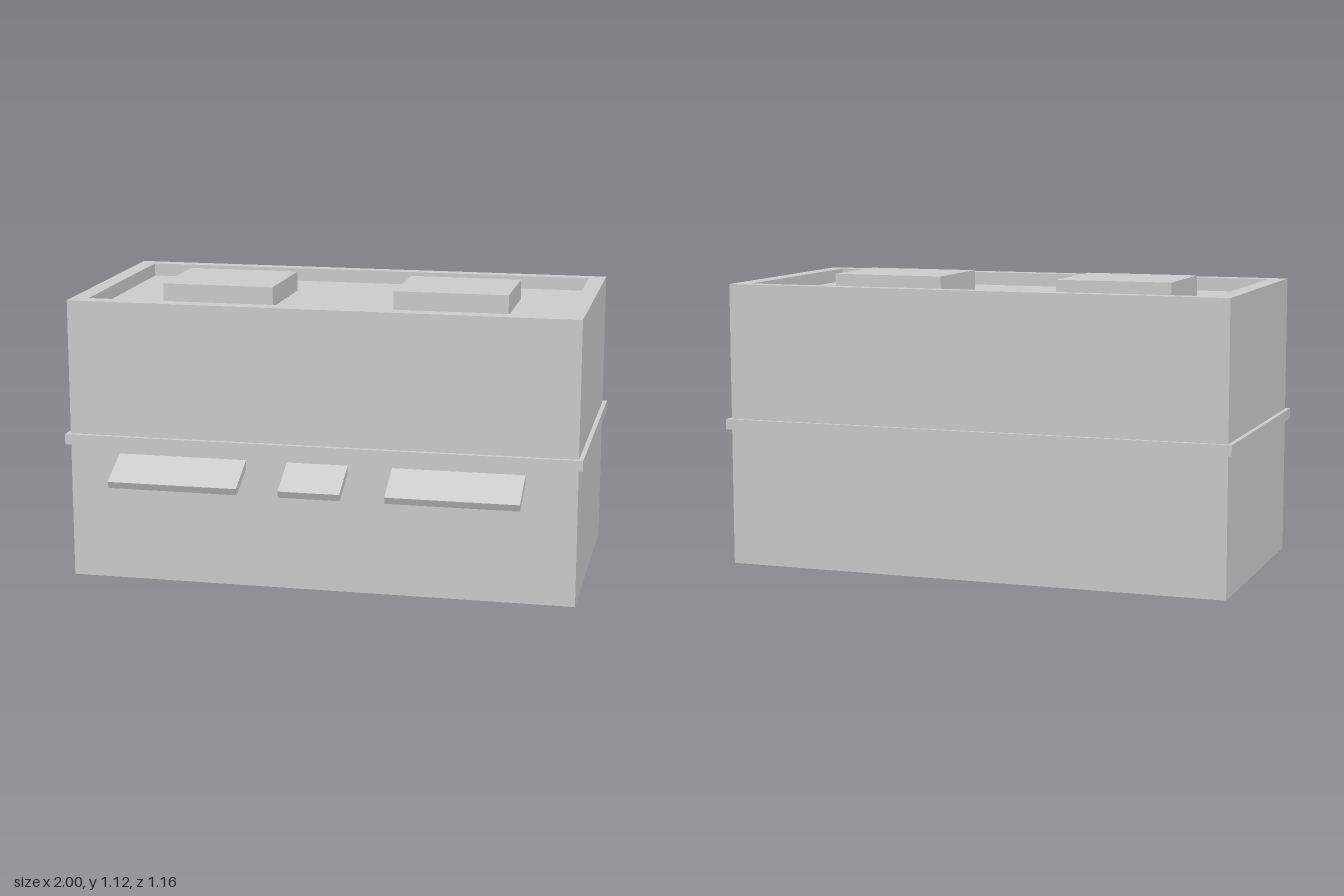
import * as THREE from 'three';

const material = new THREE.MeshStandardMaterial({ color: 0xcccccc, flatShading: true });

function addMesh(parent, name, geometry) {
  const mesh = new THREE.Mesh(geometry, material);
  mesh.name = name;
  parent.add(mesh);
  return mesh;
}

// Closed solid lofted through rectangles [halfWidth, zBack, zFront, y]
function rectLoft(loops) {
  const rings = loops.map(([w, zb, zf, y]) => [[-w, y, zf], [w, y, zf], [w, y, zb], [-w, y, zb]]);
  const positions = [];
  const quad = (a, b, c, d) => positions.push(...a, ...b, ...c, ...a, ...c, ...d);
  for (let r = 0; r < rings.length - 1; r++) {
    for (let i = 0; i < 4; i++) {
      const j = (i + 1) % 4;
      quad(rings[r][i], rings[r][j], rings[r + 1][j], rings[r + 1][i]);
    }
  }
  quad(...[...rings[0]].reverse());
  quad(...rings[rings.length - 1]);
  const geometry = new THREE.BufferGeometry();
  geometry.setAttribute('position', new THREE.Float32BufferAttribute(positions, 3));
  geometry.computeVertexNormals();
  return geometry;
}

function extrude(points, depth) {
  const shape = new THREE.Shape(points.map(([x, y]) => new THREE.Vector2(x, y)));
  return new THREE.ExtrudeGeometry(shape, { depth, bevelEnabled: false });
}

export function createModel() {
  const model = new THREE.Group();
  model.name = 'building';

  // Walls, parapet and sunken roof
  const roofY = 1.04;
  addMesh(model, 'body', rectLoft([
    [0.983, -0.558, 0.423, 0],
    [0.983, -0.558, 0.423, 1.092],
    [0.917, -0.504, 0.358, 1.092],
    [0.917, -0.504, 0.358, roofY],
  ]));

  // Ledge running round the middle
  const ledge = addMesh(model, 'ledge', new THREE.BoxGeometry(2, 0.04, 1.02));
  ledge.position.set(0, 0.55, -0.067);

  // Roof units, slightly out of square; outline as [x, -z]
  const units = {
    roofUnitRight: [[-0.69, -0.123], [-0.248, -0.123], [-0.241, 0.267], [-0.69, 0.267]],
    roofUnitLeft: [[0.226, -0.112], [0.672, -0.112], [0.672, 0.257], [0.23, 0.257]],
  };
  for (const [name, outline] of Object.entries(units)) {
    const unit = addMesh(model, name, extrude(outline, 0.078));
    unit.rotation.x = -Math.PI / 2;
    unit.position.y = roofY;
  }

  // Sloping awnings; profile as [z, y], swept along x
  const profile = [[0.42, 0.501], [0.42, 0.468], [0.567, 0.4], [0.579, 0.427]];
  const awnings = [
    ['awningRight', -0.787, -0.283],
    ['awningMiddle', -0.123, 0.113],
    ['awningLeft', 0.283, 0.787],
  ];
  for (const [name, x0, x1] of awnings) {
    const awning = addMesh(model, name, extrude(profile.map(([z, y]) => [-z, y]), x1 - x0));
    awning.rotation.y = Math.PI / 2;
    awning.position.x = x0;
  }

  return model;
}
